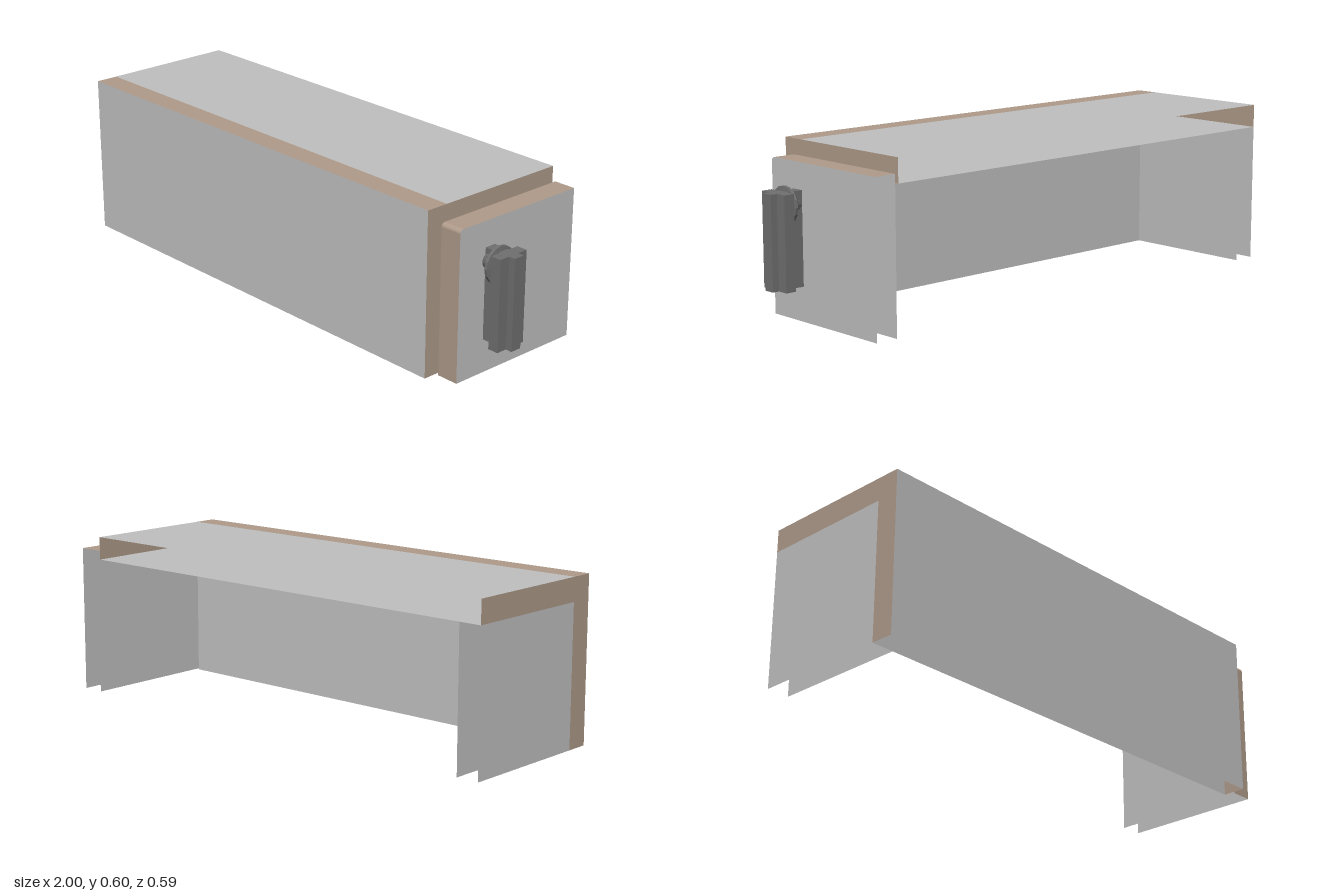
import * as THREE from 'three';

const mat = (name, color) => {
  const m = new THREE.MeshStandardMaterial({ color, side: THREE.DoubleSide });
  m.name = name;
  return m;
};

// Box that keeps only the listed sides (0 +x, 1 -x, 2 +y, 3 -y, 4 +z, 5 -z)
function sides([x0, x1], [y0, y1], [z0, z1], keep) {
  const g = new THREE.BoxGeometry(x1 - x0, y1 - y0, z1 - z0);
  const all = Array.from(g.index.array);
  g.setIndex(keep.flatMap(f => all.slice(f * 6, f * 6 + 6)));
  g.clearGroups();
  g.translate((x0 + x1) / 2, (y0 + y1) / 2, (z0 + z1) / 2);
  return g;
}

export function createModel() {
  const model = new THREE.Group();
  model.name = 'cabinet';
  const panelGrey = mat('panelGrey', 0xc0c0c0);
  const edgeTan = mat('edgeTan', 0xaf9b8a);
  const handleGrey = mat('handleGrey', 0x707070);

  const add = (parent, name, geometry, material) => {
    const mesh = new THREE.Mesh(geometry, material);
    mesh.name = name;
    parent.add(mesh);
    return mesh;
  };

  const H = 0.595, D = 0.297, T = 0.085, X0 = -1, X1 = 0.777;
  const inY = H - T, inZ = D - T;

  // Hollow panels: grey sheets with tan edge strips, open at back and bottom
  const panel = (name, x, y, z, sheets, edges) => {
    const group = new THREE.Group();
    group.name = name;
    add(group, name + 'Sheets', sides(x, y, z, sheets), panelGrey);
    if (edges.length) add(group, name + 'Edges', sides(x, y, z, edges), edgeTan);
    model.add(group);
  };
  panel('frontPanel', [X0, X1], [0, H], [inZ, D], [4, 5], [0, 1, 2]);
  panel('topPanel', [X0, X1], [inY, H], [-D, inZ], [2, 3], [0, 1]);
  panel('endPanel', [X0, X0 + T], [0, inY], [-D, inZ], [0, 1], []);

  // Separate end door with a small rounded upper front corner
  const door = new THREE.Group();
  door.name = 'endDoor';
  model.add(door);
  const doorX = [0.79, 0.873], doorY = 0.543, doorZ = 0.247, r = 0.015;
  const outline = new THREE.Shape();
  outline.moveTo(-doorZ, 0);
  outline.lineTo(-doorZ, doorY - r);
  outline.absarc(-doorZ + r, doorY - r, r, Math.PI, Math.PI / 2, true);
  outline.lineTo(D, doorY);
  outline.lineTo(D, 0);
  doorX.forEach((x, i) => {
    const sheet = new THREE.ShapeGeometry(outline, 6);
    sheet.rotateY(Math.PI / 2).translate(x, 0, 0);
    add(door, i ? 'doorOuterSheet' : 'doorInnerSheet', sheet, panelGrey);
  });
  const pts = outline.getPoints(6).filter((p, i) => !(i > 1 && p.y < 0.01));
  const pos = [], idx = [];
  pts.forEach((p, i) => {
    for (const x of doorX) pos.push(x, p.y, -p.x);
    const a = i * 2;
    if (i < pts.length - 1) idx.push(a, a + 1, a + 2, a + 1, a + 3, a + 2);
  });
  let strip = new THREE.BufferGeometry();
  strip.setAttribute('position', new THREE.Float32BufferAttribute(pos, 3));
  strip.setIndex(idx);
  strip = strip.toNonIndexed();
  strip.computeVertexNormals();
  add(door, 'doorEdge', strip, edgeTan);

  // Handle: upright bar of cross-shaped section
  const handle = new THREE.Group();
  handle.name = 'handle';
  model.add(handle);
  const cx = 0.106, s = 0.021, w = 0.061;
  const section = new THREE.Shape([
    [0.873, s], [0.935, s], [0.935, w], [0.975, w], [0.975, s], [1, s],
    [1, -s], [0.975, -s], [0.975, -w], [0.935, -w], [0.935, -s], [0.873, -s],
  ].map(([x, z]) => new THREE.Vector2(x, z - cx)));
  const bar = new THREE.ExtrudeGeometry(section, { depth: 0.328, bevelEnabled: false });
  bar.rotateX(-Math.PI / 2).translate(0, 0.122, 0);
  add(handle, 'handleBar', bar, handleGrey);

  // Flared round boss behind the bar
  const boss = new THREE.LatheGeometry([
    [0, 0.873], [0.028, 0.873], [0.034, 0.892], [0.066, 0.917], [0.066, 0.927], [0, 0.935],
  ].map(([rad, x]) => new THREE.Vector2(rad, x)), 16).toNonIndexed();
  boss.computeVertexNormals();
  boss.rotateZ(-Math.PI / 2).translate(0, 0.402, 0.113);
  add(handle, 'handleBoss', boss, handleGrey);

  // Small round fitting under the top panel
  const fitting = new THREE.CylinderGeometry(0.04, 0.03, 0.006, 16);
  fitting.translate(-0.795, inY - 0.003, 0.1);
  add(model, 'topFitting', fitting, panelGrey);

  return model;
}
